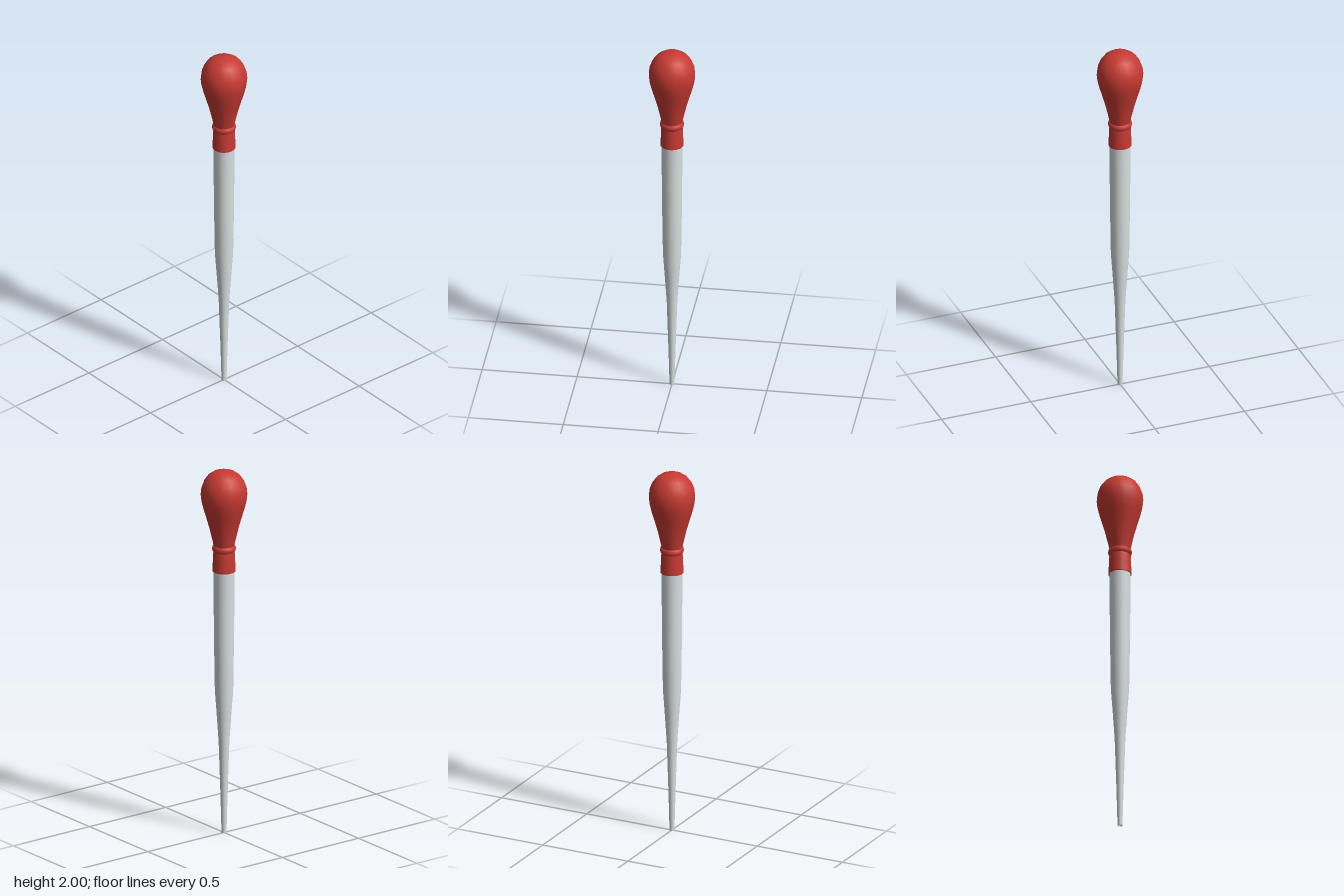
import * as THREE from 'three';

const SIDES = 20;

// Lathe a smooth surface from [radius, height] pairs, bottom to top.
function turned(name, pairs, material) {
  const points = pairs.map(([r, y]) => new THREE.Vector2(r, y));
  const mesh = new THREE.Mesh(new THREE.LatheGeometry(points, SIDES), material);
  mesh.name = name;
  return mesh;
}

export function createModel() {
  const model = new THREE.Group();
  model.name = 'dropper';
  const rubber = new THREE.MeshStandardMaterial({ color: 0xc73a32 });
  rubber.name = 'red rubber';
  const glass = new THREE.MeshStandardMaterial({ color: 0xd9dfdf, side: THREE.DoubleSide });
  glass.name = 'pale glass';

  // Tapered tube, with a small open bore at the tip
  model.add(turned('tube', [
    [0.013, 0], [0.019, 0.22], [0.028, 0.5], [0.038, 0.65],
    [0.048, 0.79], [0.052, 1.05], [0.056, 1.46],
  ], glass));
  model.add(turned('tipBore', [[0, 0.1], [0.009, 0.1], [0.009, 0], [0.013, 0]], glass));

  // Sleeve gripping the tube; its underside is a flat ring
  model.add(turned('sleeveUnderside', [[0.05, 1.445], [0.061, 1.445]], rubber));
  model.add(turned('sleeve', [
    [0.061, 1.445], [0.061, 1.46], [0.058, 1.5], [0.058, 1.53], [0.055, 1.555],
  ], rubber));

  // Rounded bead between sleeve and bulb
  model.add(turned('bead', [
    [0.055, 1.553], [0.06, 1.558], [0.063, 1.57], [0.06, 1.582], [0.053, 1.587],
  ], rubber));

  // Squeeze bulb, narrowing to the neck
  model.add(turned('bulb', [
    [0.053, 1.58], [0.063, 1.625], [0.076, 1.68], [0.093, 1.74], [0.108, 1.79],
    [0.118, 1.832], [0.122, 1.868], [0.118, 1.905], [0.105, 1.94], [0.083, 1.97],
    [0.057, 1.988], [0.029, 1.997], [0, 2],
  ], rubber));

  return model;
}
